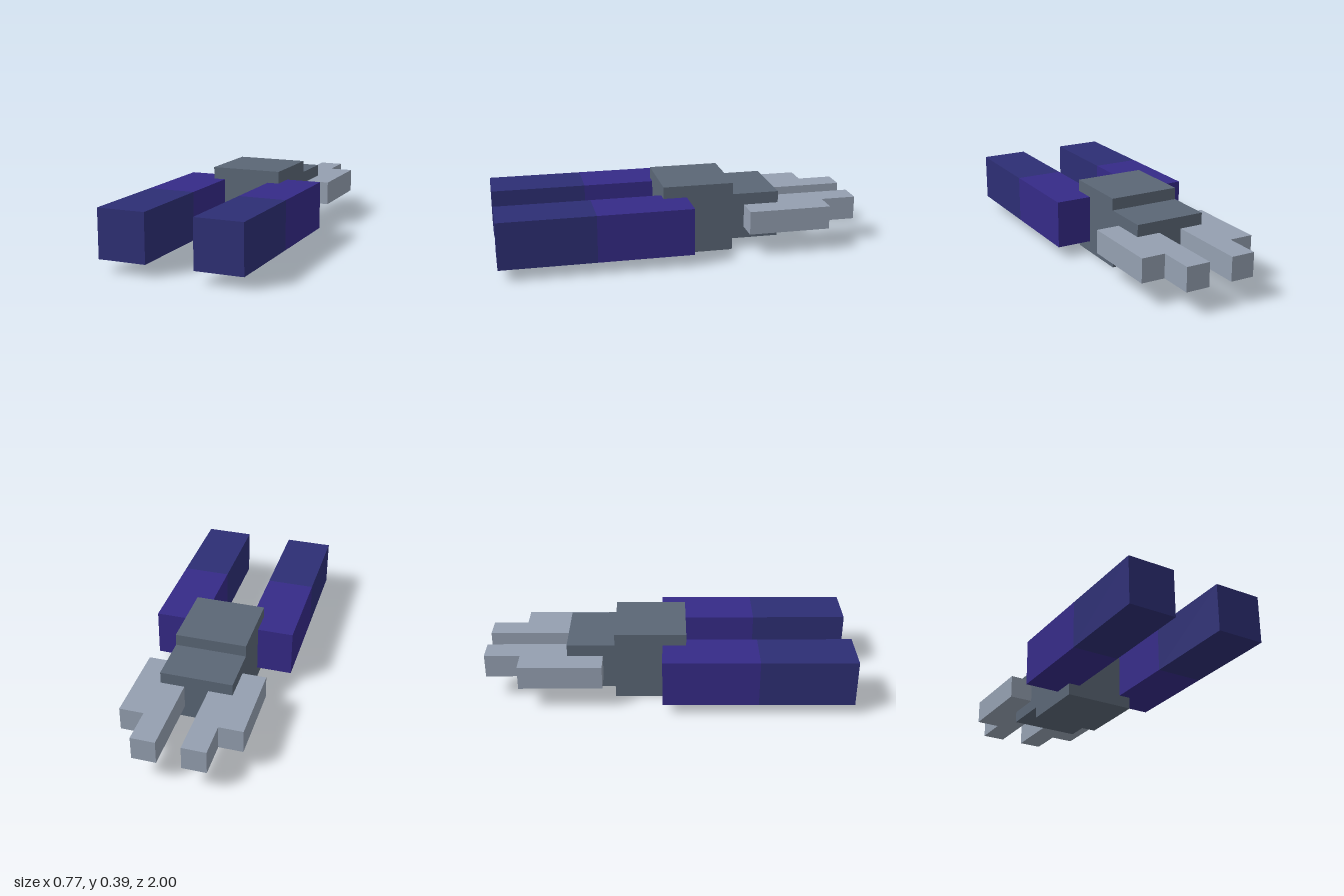
import * as THREE from 'three';

// One grid unit: the model is 31 units long
const U = 2 / 31;

const mat = (name, color) => {
  const m = new THREE.MeshStandardMaterial({ color });
  m.name = name;
  return m;
};

export function createModel() {
  const group = new THREE.Group();
  const slate = mat('slate grey', 0x5a6675);
  const pale = mat('pale grey', 0x949fb0);
  const violet = mat('violet', 0x352a87);
  const navy = mat('navy', 0x2d2e74);

  // Box given by its lower and upper corners, in grid units
  const box = (name, material, [x0, y0, z0], [x1, y1, z1]) => {
    const mesh = new THREE.Mesh(
      new THREE.BoxGeometry((x1 - x0) * U, (y1 - y0) * U, (z1 - z0) * U), material);
    mesh.position.set((x0 + x1) / 2 * U, (y0 + y1) / 2 * U, (z0 + z1) / 2 * U);
    mesh.name = name;
    group.add(mesh);
  };

  // Same box on both sides
  const pair = (name, material, [x0, y0, z0], [x1, y1, z1]) => {
    box('left' + name, material, [x0, y0, z0], [x1, y1, z1]);
    box('right' + name, material, [-x1, y0, z0], [-x0, y1, z1]);
  };

  // Central hull and lower rear block
  box('hull', slate, [-3, 0, -4.5], [3, 6, 1.5]);
  box('rearBlock', slate, [-3, 1, -8.5], [3, 5, -4.5]);

  // Long side pods, in two colours
  pair('PodRear', violet, [2, 1, -0.5], [6, 5, 7.5]);
  pair('PodFront', navy, [2, 1, 7.5], [6, 5, 15.5]);

  // Stepped tail prongs
  pair('OuterProng', pale, [3, 2, -12.5], [5, 4, -5.5]);
  pair('InnerProng', pale, [1, 2, -15.5], [3, 4, -8.5]);

  return group;
}
